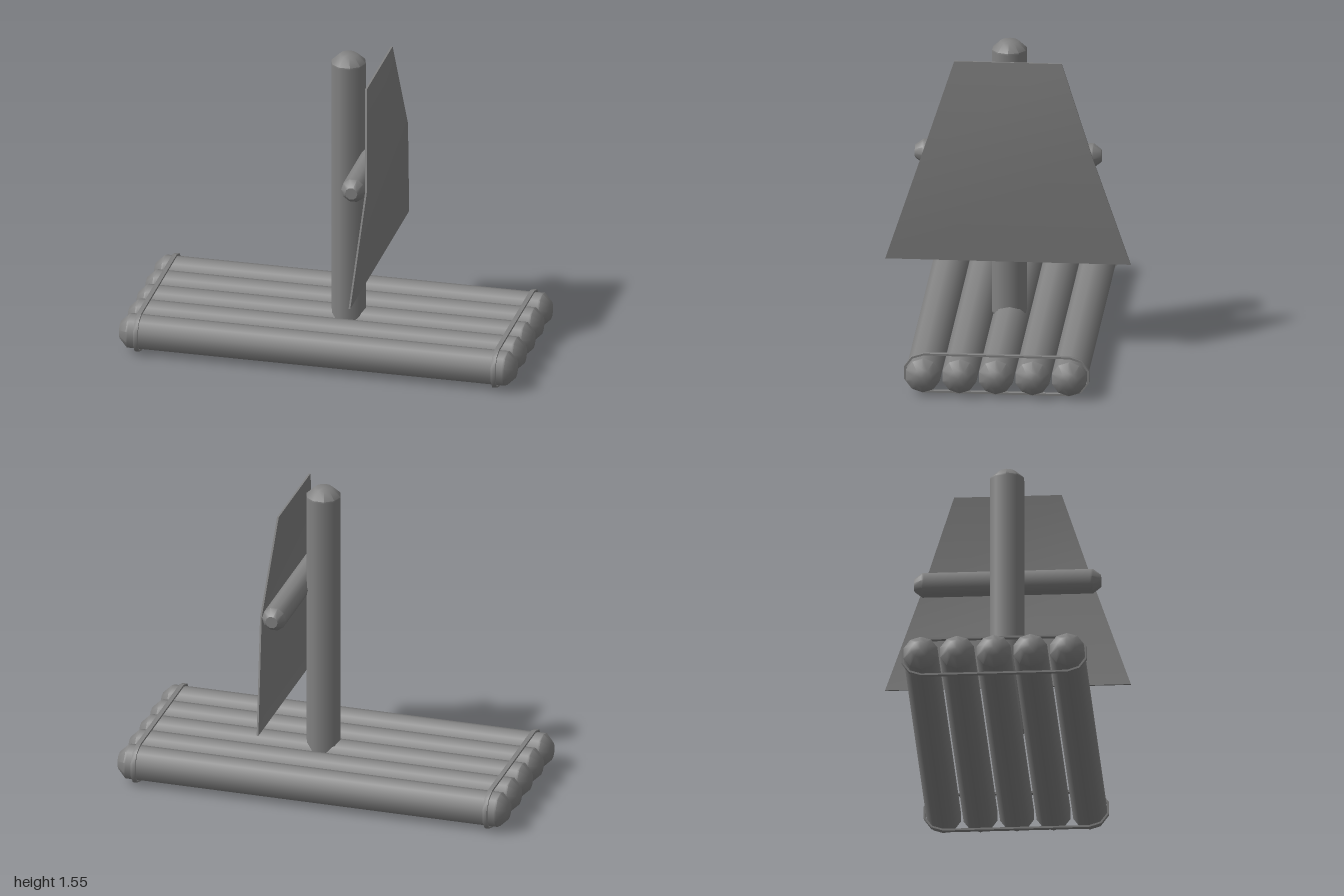
import * as THREE from 'three';
import { toCreasedNormals } from 'three/addons/utils/BufferGeometryUtils.js';

const SIDES = 10;
const CREASE = 0.85;
const darkGrey = new THREE.MeshStandardMaterial({ color: 0x828282, side: THREE.DoubleSide });

// Ten-sided pole along y, centred, with softly shaded tapered ends
function poleGeometry(length, radius, tipRadius, taper) {
  const h = length / 2;
  const s = h - taper;
  const profile = [
    [0, -h], [tipRadius, -h], [radius, -s], [radius, -s + 0.01],
    [radius, s - 0.01], [radius, s], [tipRadius, h], [0, h],
  ].map(([r, y]) => new THREE.Vector2(r, y));
  return toCreasedNormals(new THREE.LatheGeometry(profile, SIDES, Math.PI / 2), CREASE);
}

// Outline that wraps the row of logs, as [z, y] points; ends are half decagons
function loopPoints(radius, halfSpan) {
  const points = [];
  for (const side of [1, -1]) {
    for (let i = 0; i <= SIDES / 2; i++) {
      const a = -Math.PI / 2 + (i / SIDES) * Math.PI * 2;
      points.push(new THREE.Vector2(side * (halfSpan + Math.cos(a) * radius), side * Math.sin(a) * radius));
    }
  }
  return points;
}

export function createModel() {
  const model = new THREE.Group();
  model.name = 'raft';
  const add = (parent, name, geometry, x, y, z) => {
    const mesh = new THREE.Mesh(geometry, darkGrey);
    mesh.name = name;
    mesh.position.set(x, y, z);
    parent.add(mesh);
  };

  // Deck of five logs lying along x
  const deck = new THREE.Group();
  deck.name = 'deck';
  model.add(deck);
  const logGeometry = poleGeometry(2, 0.0875, 0.045, 0.043).rotateZ(Math.PI / 2);
  for (let i = -2; i <= 2; i++) add(deck, 'log', logGeometry, 0, 0.102, i * 0.18);

  // Rope bands near both ends
  const band = new THREE.Shape(loopPoints(0.101, 0.36));
  band.holes.push(new THREE.Path(loopPoints(0.091, 0.36)));
  const bandGeometry = toCreasedNormals(
    new THREE.ExtrudeGeometry(band, { depth: 0.022, bevelEnabled: false }), CREASE)
    .translate(0, 0, -0.011)
    .rotateY(Math.PI / 2);
  for (const side of [-1, 1]) add(model, 'ropeBand', bandGeometry, side * 0.905, 0.101, 0);

  // Mast, standing on the middle log
  add(model, 'mast', poleGeometry(1.445, 0.0875, 0.045, 0.04), 0.065, 0.8225, 0.005);

  // Yard, the crossbar that carries the sail
  const yardGeometry = poleGeometry(0.92, 0.061, 0.031, 0.04).rotateX(Math.PI / 2);
  add(model, 'yard', yardGeometry, 0.19, 1.003, 0);

  // Sail: thin tapered sheet folded outward at the yard
  const bottom = 0.45, fold = 1.005, top = 1.485;
  const sailGeometry = new THREE.BoxGeometry(0.009, 2, 2, 1, 2, 1);
  const p = sailGeometry.attributes.position;
  for (let i = 0; i < p.count; i++) {
    const row = Math.round(p.getY(i));
    const y = row < 0 ? bottom : row > 0 ? top : fold;
    const halfWidth = THREE.MathUtils.mapLinear(y, bottom, top, 0.605, 0.265);
    p.setXYZ(i, p.getX(i) + (row === 0 ? 0.256 : 0.217), y, p.getZ(i) * halfWidth);
  }
  sailGeometry.computeVertexNormals();
  add(model, 'sail', sailGeometry, 0, 0, 0);

  return model;
}
